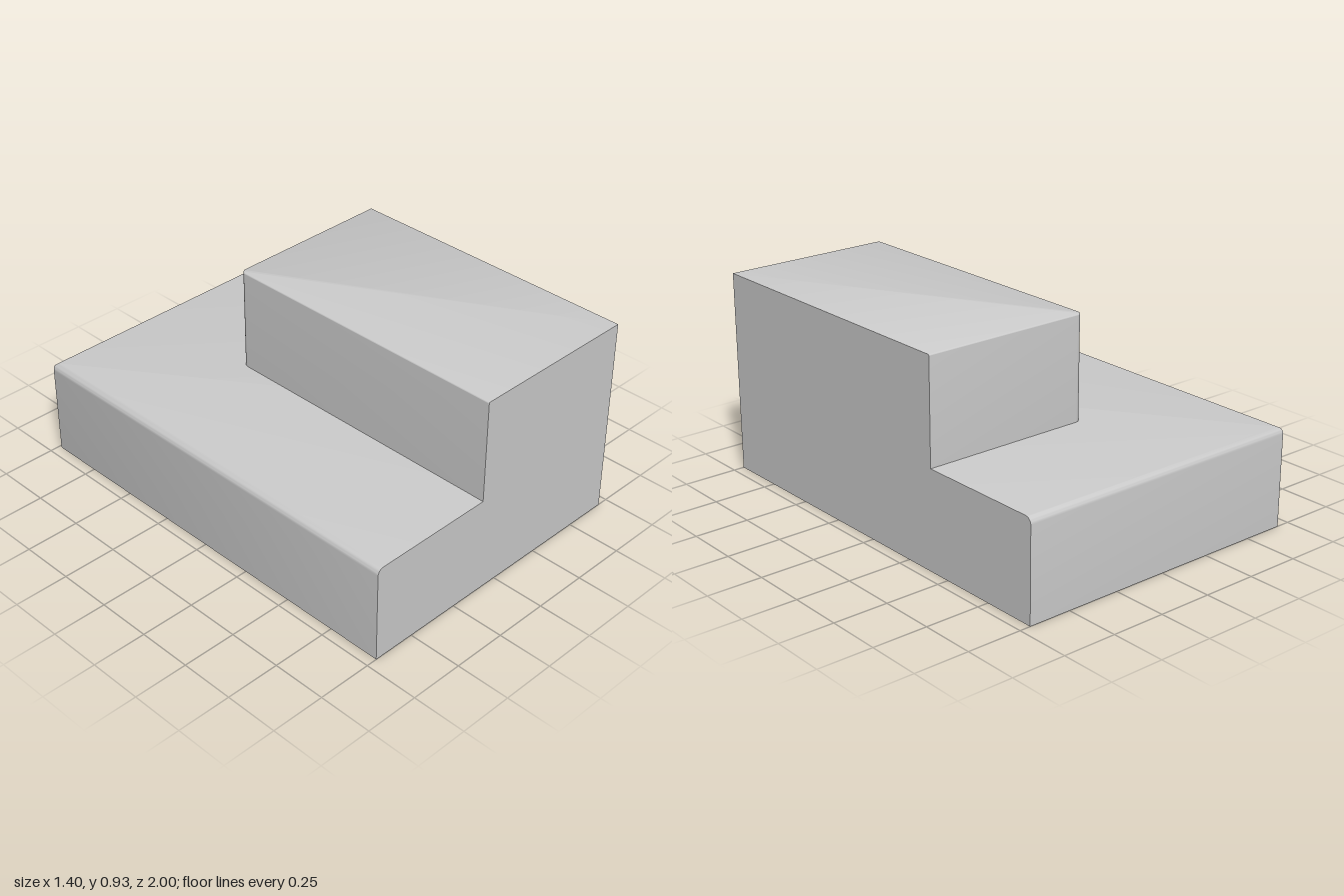
import * as THREE from 'three';
import { toCreasedNormals } from 'three/addons/utils/BufferGeometryUtils.js';

const X1 = 0.7, ZF = 1, SEG = 8; // flush right and front planes, arc steps

// Plan outline pulled in by d on the left and back sides, with a rounded back left corner
function outline(x0, z0, corner, d) {
  const r = Math.max(corner - d, 0.0005);
  const pts = [[x0 + d, ZF]];
  for (let i = 0; i <= SEG; i++) {
    const a = (i / SEG) * Math.PI / 2;
    pts.push([x0 + d + r - r * Math.cos(a), z0 + d + r - r * Math.sin(a)]);
  }
  pts.push([X1, z0 + d], [X1, ZF]);
  return pts;
}

// Block open underneath: walls, filleted left and back top edges, flat top
function openBlock({ x0, z0, y0, y1, corner, fillet }) {
  const rings = [outline(x0, z0, corner, 0).map(([x, z]) => [x, y0, z])];
  for (let i = 0; i <= SEG; i++) {
    const a = (i / SEG) * Math.PI / 2;
    const y = y1 - fillet + fillet * Math.sin(a);
    rings.push(outline(x0, z0, corner, fillet * (1 - Math.cos(a))).map(([x, z]) => [x, y, z]));
  }
  const n = rings[0].length, index = [];
  for (let k = 0; k < rings.length - 1; k++) {
    for (let i = 0; i < n; i++) {
      const a = k * n + i, b = k * n + (i + 1) % n;
      index.push(a, a + n, b, b, a + n, b + n);
    }
  }
  // flat top, fanned from the front right corner
  const top = (rings.length - 1) * n;
  for (let i = 0; i < n - 2; i++) index.push(top + n - 1, top + i + 1, top + i);

  const geo = new THREE.BufferGeometry();
  geo.setAttribute('position', new THREE.Float32BufferAttribute(rings.flat(2), 3));
  geo.setIndex(index);
  return toCreasedNormals(geo, Math.PI / 6);
}

export function createModel() {
  const group = new THREE.Group();
  const material = new THREE.MeshStandardMaterial({ color: 0xcccccc, side: THREE.DoubleSide });
  const add = (name, spec) => {
    const mesh = new THREE.Mesh(openBlock(spec), material);
    mesh.name = name;
    group.add(mesh);
  };
  // low hollow base, its top forming the ceiling inside
  add('lowerStep', { x0: -0.7, z0: -1, y0: 0, y1: 0.45, corner: 0.02, fillet: 0.03 });
  // taller block flush with the front and right walls
  add('upperStep', { x0: -0.1, z0: -0.4, y0: 0.45, y1: 0.925, corner: 0.03, fillet: 0.006 });
  return group;
}
